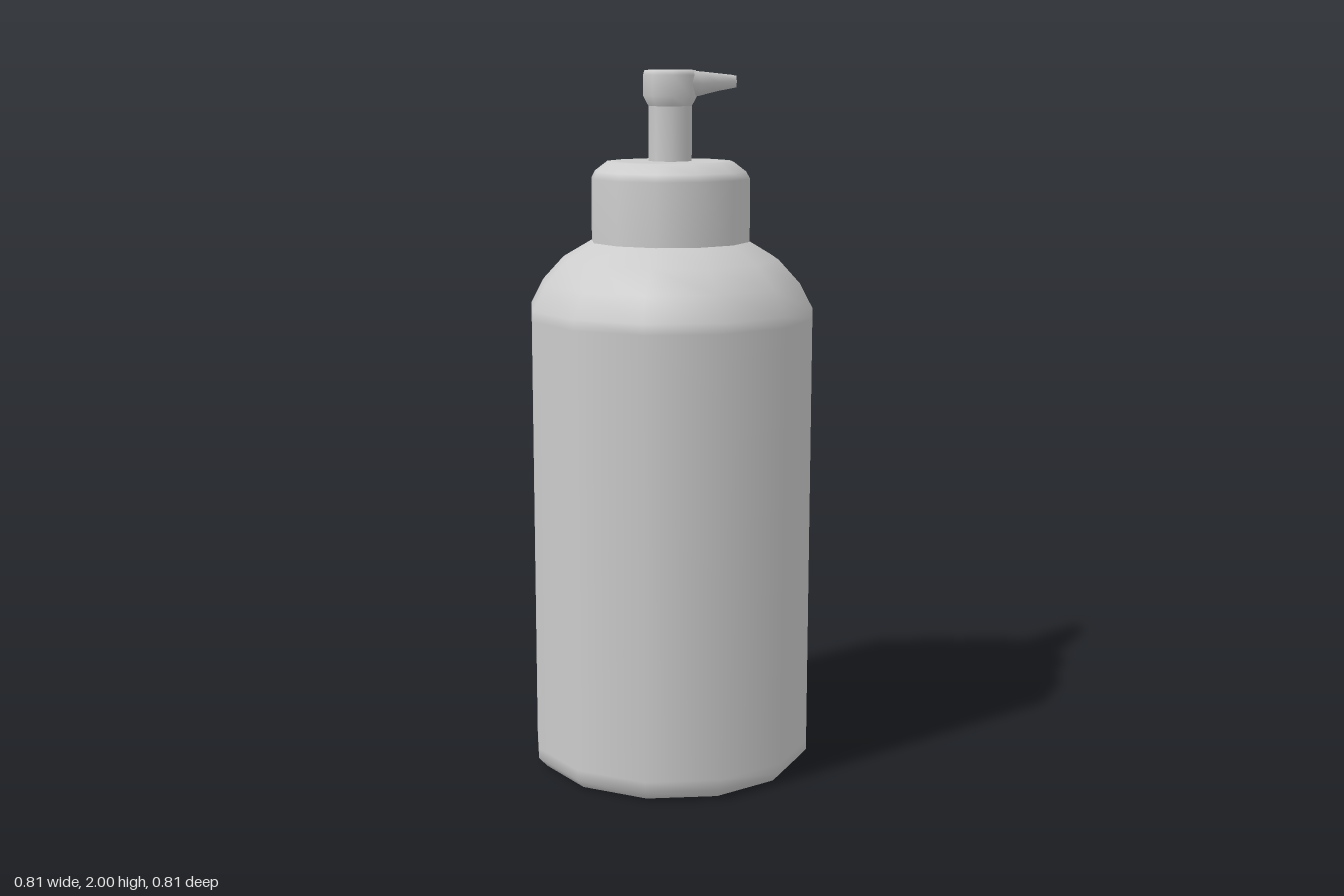
import * as THREE from 'three';

const material = new THREE.MeshStandardMaterial({ color: 0xcccccc, side: THREE.DoubleSide });

// Turned part from [radius, height] pairs
function turned(name, profile, sides) {
  const points = profile.map(([r, y]) => new THREE.Vector2(r, y));
  const mesh = new THREE.Mesh(new THREE.LatheGeometry(points, sides), material);
  mesh.name = name;
  return mesh;
}

// Tapered spout: eight-sided rings joined along x, ending in a recessed opening
function makeSpout() {
  const sides = 8;
  // x, half width, bottom, top, corner fullness, notch depth at the sides
  const rings = [
    [0.0, 0.073, 1.925, 1.999, 1.25, 0],
    [0.06, 0.067, 1.922, 1.999, 1.2, 0],
    [0.16, 0.048, 1.935, 1.993, 1.2, 0],
    [0.275, 0.029, 1.946, 1.985, 1.2, 0.009],
    [0.273, 0.02, 1.952, 1.979, 1.2, 0.008],
    [0.245, 0.018, 1.954, 1.977, 1.2, 0],
    [0.245, 0, 1.965, 1.965, 1, 0],
  ];
  const positions = [], index = [];
  rings.forEach(([x, w, bottom, top, corner, notch], i) => {
    for (let j = 0; j < sides; j++) {
      const a = (j / sides) * Math.PI * 2;
      const k = j % 2 ? corner : 1;
      const y = (top + bottom) / 2 + Math.sin(a) * k * (top - bottom) / 2;
      positions.push(x - notch * Math.abs(Math.cos(a)), y, Math.cos(a) * k * w);
      if (i < rings.length - 1) {
        const p = i * sides + j, q = i * sides + (j + 1) % sides;
        index.push(p, p + sides, q, p + sides, q + sides, q);
      }
    }
  });
  const geometry = new THREE.BufferGeometry();
  geometry.setAttribute('position', new THREE.Float32BufferAttribute(positions, 3));
  geometry.setIndex(index);
  geometry.computeVertexNormals();
  const mesh = new THREE.Mesh(geometry, material);
  mesh.name = 'spout';
  return mesh;
}

export function createModel() {
  const model = new THREE.Group();
  model.name = 'soapDispenser';

  // Twelve-sided bottle with a rounded shoulder
  model.add(turned('bottle', [
    [0, 0], [0.375, 0], [0.383, 0.003], [0.407, 0.03], [0.407, 0.06], [0.407, 1.31],
    [0.407, 1.34], [0.37, 1.41], [0.31, 1.475], [0.225, 1.525], [0.2, 1.53],
  ], 12));

  // Collar with a bevelled top edge
  model.add(turned('collar', [
    [0.227, 1.5], [0.227, 1.7], [0.216, 1.72], [0.18, 1.747], [0.15, 1.748], [0, 1.748],
  ], 12));

  // Pump stem flaring into the head
  const pump = new THREE.Group();
  pump.name = 'pump';
  pump.add(turned('stem', [[0.061, 1.74], [0.061, 1.9], [0.066, 1.915]], 8));
  pump.add(turned('head', [
    [0.061, 1.9], [0.076, 1.928], [0.076, 1.985], [0.072, 1.998], [0.055, 2], [0, 2],
  ], 8));
  pump.add(makeSpout());
  model.add(pump);

  return model;
}
